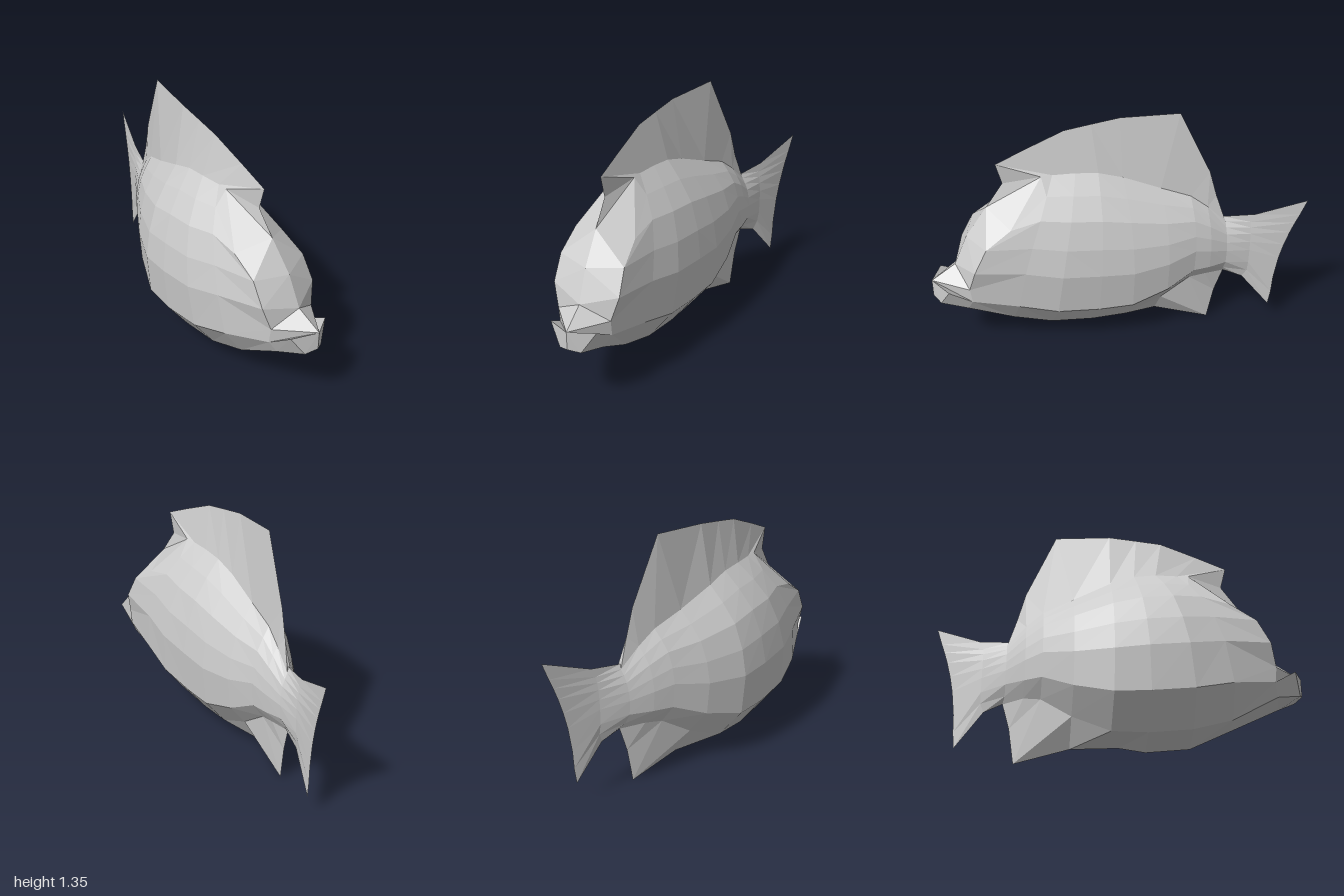
import * as THREE from 'three';

// Swimming bend: sideways offset of the centreline, as [z, x] from nose to tail
const BEND = [[1, -0.07], [0.6, -0.083], [0.24, -0.06], [-0.05, -0.015], [-0.35, 0.07], [-0.6, 0.165], [-1, 0.34]];

function bend(z) {
  const i = Math.max(1, BEND.findIndex(([end]) => z >= end));
  const [z0, x0] = BEND[i - 1], [z1, x1] = BEND[i];
  return x0 + (x1 - x0) * (z0 - z) / (z0 - z1);
}

// Cross-section shared by the whole body: [share of half width, share of height] from belly to back
const SHAPE = [[0.43, 0], [0.92, 0.19], [1, 0.45], [0.92, 0.62], [0.75, 0.78], [0.48, 0.9], [0.2, 1]];

// Builds half a section, keel to dorsal edge, as [half width, y, z] points.
// The back leans towards the tail; keel and crest are [y, z] on the centreline.
function section(z, width, low, high, lean, keel, crest) {
  const flank = SHAPE.map(([w, t]) => [width * w, low + (high - low) * t, z - lean * t * t]);
  return [[0, ...keel], ...flank, [0, ...crest]];
}

// Lip, brow and the notch below the dorsal fin, where two levels meet in one point
const FACE_LINE = [[0.475, 1], [0.555, 0.865], [0.72, 0.79], [0.88, 0.67], [0.88, 0.67], [1.01, 0.575]];

const SECTIONS = [
  // lips and centreline of the face
  [[0, 0.375, 1], [0.06, 0.355, 0.97], [0.13, 0.465, 0.93], ...FACE_LINE.map((p) => [0, ...p])],
  // jaw and rim of the face
  [[0, 0.29, 0.86], [0.11, 0.32, 0.83], [0.15, 0.39, 0.81], [0.15, 0.475, 0.82], [0.185, 0.6, 0.79],
    [0.18, 0.73, 0.72], [0.17, 0.82, 0.58], [0.05, 1.05, 0.38], [0, 1.13, 0.605]],
  // trunk
  section(0.58, 0.235, 0.18, 1.05, 0.26, [0.15, 0.58], [1.2, 0.44]),
  section(0.37, 0.275, 0.12, 1.05, 0.17, [0.05, 0.37], [1.28, 0.24]),
  section(0.14, 0.28, 0.1, 1.04, 0.06, [0.03, 0.14], [1.305, 0.1]),
  section(-0.05, 0.272, 0.11, 1, 0, [0.055, 0], [1.33, -0.05]),
  section(-0.25, 0.215, 0.21, 0.92, 0, [0.06, -0.25], [1.35, -0.35]),
  section(-0.41, 0.145, 0.33, 0.86, 0, [0, -0.54], [1, -0.51]),
  section(-0.5, 0.11, 0.35, 0.79, 0, [0.2, -0.57], [0.85, -0.55]),
  // root, blade and trailing edge of the tail
  section(-0.6, 0.06, 0.38, 0.69, 0, [0.345, -0.61], [0.715, -0.59]),
  section(-0.73, 0.02, 0.36, 0.69, 0, [0.31, -0.71], [0.74, -0.75]),
  section(-0.87, 0, 0.21, 0.755, 0.1, [0.12, -0.86], [0.85, -1]),
];

export function createModel() {
  const model = new THREE.Group();
  model.name = 'fish';
  const grey = new THREE.MeshStandardMaterial({ color: 0xcccccc, flatShading: true, side: THREE.DoubleSide });
  grey.name = 'fish grey';
  const parts = { body: [], mouth: [], dorsalFin: [], analFin: [], tailFin: [] };

  // Adds a triangle on the left side and its mirror on the right
  function triangle(part, a, b, c) {
    const [p, q, r] = [a, b, c].map((point) => new THREE.Vector3(...point));
    if (new THREE.Triangle(p, q, r).getArea() < 1e-6) return;
    const put = (side, corners) => corners.forEach(([w, y, z]) => parts[part].push(bend(z) + side * w, y, z));
    put(1, [a, b, c]);
    put(-1, [a, c, b]);
  }

  // Skin between neighbouring sections, sorted into body and fins
  for (let i = 0; i < SECTIONS.length - 1; i++) {
    const front = SECTIONS[i], back = SECTIONS[i + 1];
    for (let j = 0; j < front.length - 1; j++) {
      const part = i >= 9 ? 'tailFin' : j === 7 ? 'dorsalFin' : j === 0 && i >= 5 ? 'analFin' : 'body';
      triangle(part, front[j], back[j], front[j + 1]);
      triangle(part, front[j + 1], back[j], back[j + 1]);
    }
  }

  // Closed mouth: chin, jaw edge and corner joined to the upper lip
  const [chin, jaw, corner, lip] = SECTIONS[0];
  triangle('mouth', chin, jaw, lip);
  triangle('mouth', jaw, corner, lip);

  for (const [name, points] of Object.entries(parts)) {
    const geometry = new THREE.BufferGeometry();
    geometry.setAttribute('position', new THREE.Float32BufferAttribute(points, 3));
    geometry.computeVertexNormals();
    const mesh = new THREE.Mesh(geometry, grey);
    mesh.name = name;
    model.add(mesh);
  }
  return model;
}
